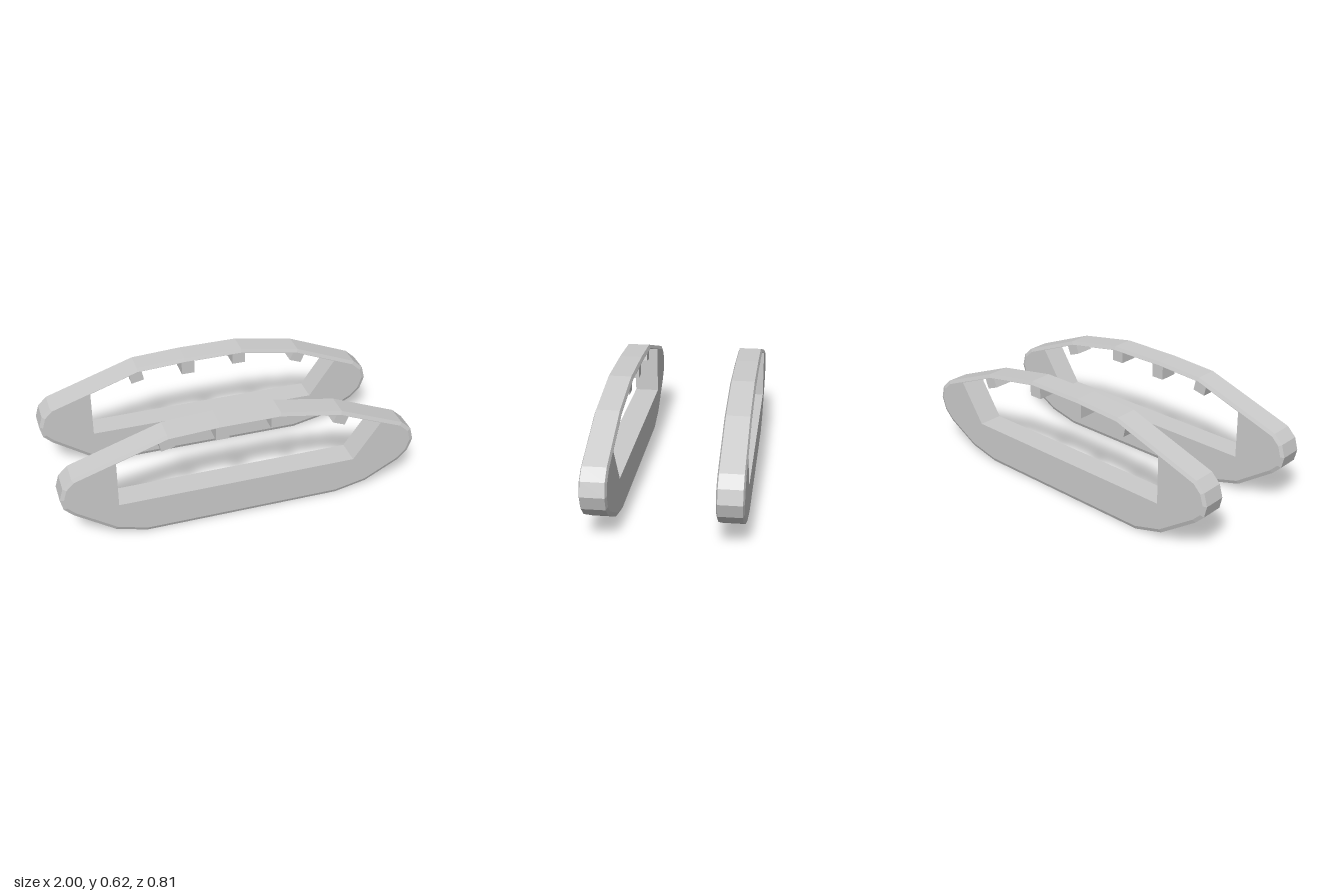
import * as THREE from 'three';

const material = new THREE.MeshStandardMaterial({ color: 0xcccccc, flatShading: true });
const HALF = 0.07, RIM = 0.062, BEVEL = 0.02, TRACK_Z = 0.335;

// Side profile of the track, counter-clockwise
const outline = [
  [-0.55, 0], [0.55, 0], [0.73, 0.04], [0.92, 0.145], [0.975, 0.2], [1, 0.275],
  [0.98, 0.35], [0.92, 0.405], [0.55, 0.557], [0.2, 0.62], [-0.14, 0.62], [-0.42, 0.605],
  [-0.93, 0.435], [-0.98, 0.385], [-1, 0.315], [-0.985, 0.25], [-0.935, 0.2], [-0.72, 0.05],
].map(([x, y]) => new THREE.Vector2(x, y));

// Moves every edge of a closed loop inwards by d
function inset(loop, d) {
  const normal = (a, b) => new THREE.Vector2(a.y - b.y, b.x - a.x).normalize();
  return loop.map((p, i) => {
    const n1 = normal(loop[(i + loop.length - 1) % loop.length], p);
    const n2 = normal(p, loop[(i + 1) % loop.length]);
    return p.clone().addScaledVector(n1.clone().add(n2), d / (1 + n1.dot(n2)));
  });
}

// Opening: straight floor and ends, roof parallel to the top run
const hole = [
  new THREE.Vector2(-0.695, 0.215), new THREE.Vector2(0.64, 0.215), new THREE.Vector2(0.787, 0.434),
  ...inset(outline, 0.022).slice(8, 12),
  new THREE.Vector2(-0.695, 0.489),
];

function trackGeometry() {
  const pos = [];
  const face = inset(outline, BEVEL);
  // Wall between two matching loops at two depths; loop a is the rear one
  const wall = (a, za, b, zb) => a.forEach((p, i) => {
    const j = (i + 1) % a.length, q = a[j], r = b[j], s = b[i];
    pos.push(p.x, p.y, za, q.x, q.y, za, r.x, r.y, zb);
    pos.push(p.x, p.y, za, r.x, r.y, zb, s.x, s.y, zb);
  });
  wall(face, -HALF, outline, -RIM);
  wall(outline, -RIM, outline, RIM);
  wall(outline, RIM, face, HALF);
  const inner = [...hole].reverse();
  wall(inner, -HALF, inner, HALF);

  // Flat side faces with the opening cut out
  const points = [...face, ...inner];
  for (const [a, b, c] of THREE.ShapeUtils.triangulateShape(face, [inner])) {
    const [p, q, r] = [points[a], points[b], points[c]];
    const ccw = (q.x - p.x) * (r.y - p.y) - (q.y - p.y) * (r.x - p.x) > 0;
    const front = ccw ? [p, q, r] : [p, r, q];
    for (const v of front) pos.push(v.x, v.y, HALF);
    for (const v of front.reverse()) pos.push(v.x, v.y, -HALF);
  }
  const geo = new THREE.BufferGeometry();
  geo.setAttribute('position', new THREE.Float32BufferAttribute(pos, 3));
  geo.computeVertexNormals();
  return geo;
}

// Support blocks under the top run: x, y, height, tilt
const blocks = [
  [-0.424, 0.55, 0.08, 0.21],
  [-0.118, 0.56, 0.1, 0],
  [0.188, 0.567, 0.085, 0],
  [0.555, 0.503, 0.07, -0.38],
];

export function createModel() {
  const model = new THREE.Group();
  model.name = 'trackPair';
  const geo = trackGeometry();
  for (const side of [1, -1]) {
    const track = new THREE.Group();
    track.name = side > 0 ? 'frontTrack' : 'backTrack';
    track.position.z = side * TRACK_Z;
    const belt = new THREE.Mesh(geo, material);
    belt.name = 'trackBelt';
    track.add(belt);
    blocks.forEach(([x, y, h, tilt], i) => {
      const block = new THREE.Mesh(new THREE.BoxGeometry(0.075, h, 0.11), material);
      block.name = `supportBlock${i + 1}`;
      block.position.set(x, y, 0);
      block.rotation.z = tilt;
      track.add(block);
    });
    model.add(track);
  }
  return model;
}
